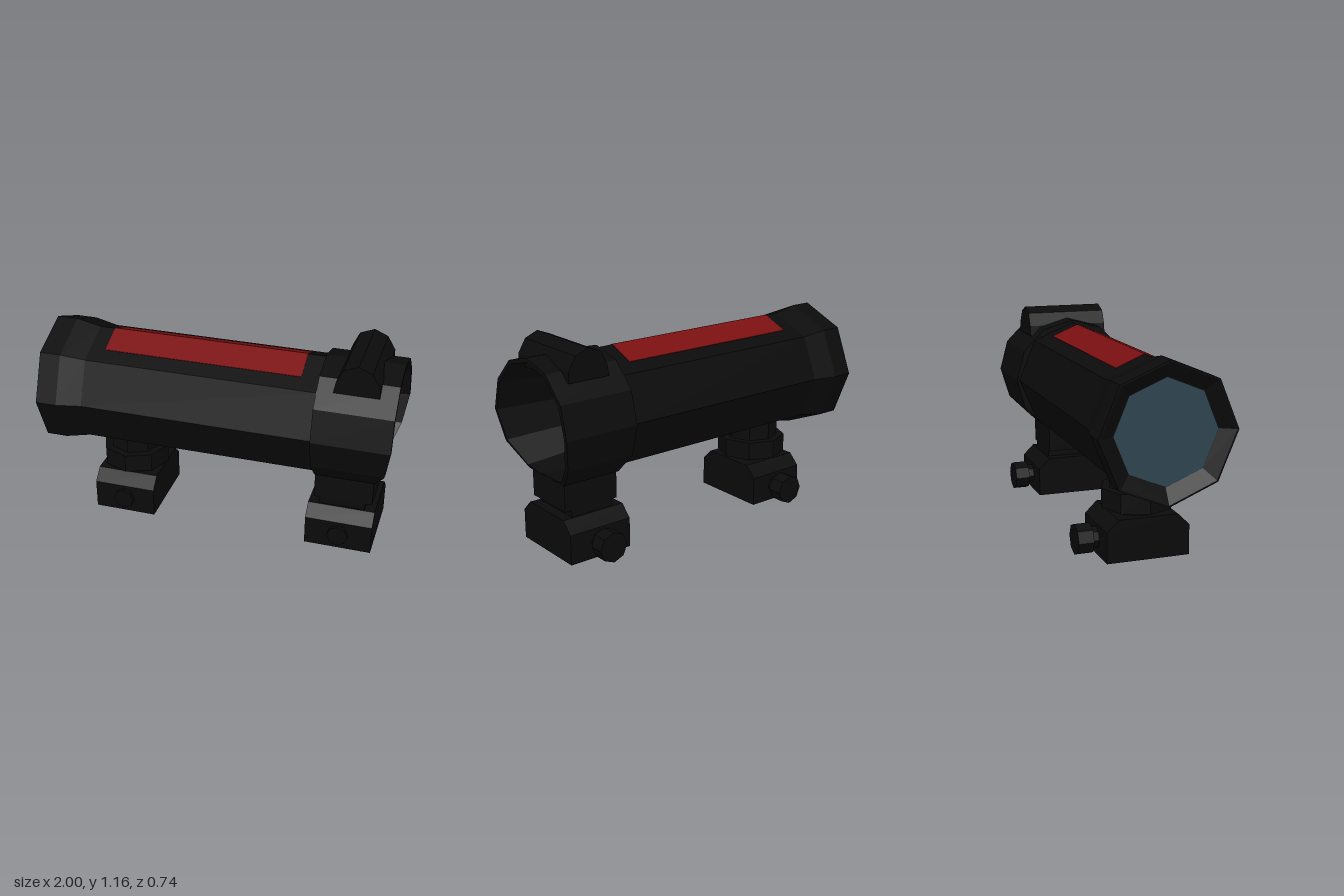
import * as THREE from 'three';

const AXIS_Y = 0.735;

export function createModel() {
  const model = new THREE.Group();
  const black = new THREE.MeshStandardMaterial({ color: 0x0b0b0b });
  black.name = 'matte black';
  const red = new THREE.MeshStandardMaterial({ color: 0x7a1011 });
  red.name = 'dark red';
  const glass = new THREE.MeshStandardMaterial({ color: 0x2f454f });
  glass.name = 'blue glass';

  // Faceted mesh helper
  function add(name, geometry, material, x = 0, y = 0, z = 0, parent = model) {
    const flat = geometry.index ? geometry.toNonIndexed() : geometry;
    flat.computeVertexNormals();
    const mesh = new THREE.Mesh(flat, material);
    mesh.name = name;
    mesh.position.set(x, y, z);
    parent.add(mesh);
    return mesh;
  }

  // Turned part along x from [x, radius] pairs
  function turned(profile, sides) {
    const points = profile.map(([x, r]) => new THREE.Vector2(r, x));
    return new THREE.LatheGeometry(points, sides).rotateZ(-Math.PI / 2);
  }

  // Outline extruded symmetrically along z
  function slab(outline, depth) {
    const shape = new THREE.Shape(outline.map(([x, y]) => new THREE.Vector2(x, y)));
    return new THREE.ExtrudeGeometry(shape, { depth, bevelEnabled: false }).translate(0, 0, -depth / 2);
  }

  // Eight-sided tube with a flared, recessed eyepiece
  add('tube', turned([
    [-0.95, 0], [-0.95, 0.28], [-1, 0.36], [-1, 0.37], [-0.88, 0.37],
    [-0.74, 0.34], [0.58, 0.34],
  ], 8), black, 0, AXIS_Y);

  // Twelve-sided hollow hood, its mouth cut back towards the bottom
  const hood = turned([
    [0.57, 0.3], [0.57, 0.354], [1, 0.354], [1, 0.33], [0.58, 0.29], [0.58, 0],
  ], 12);
  const p = hood.attributes.position;
  for (let i = 0; i < p.count; i++) {
    if (p.getX(i) > 0.9) {
      const s = Math.min(0, p.getY(i) / 0.354);
      p.setX(i, 1 - 0.12 * s * s);
    }
  }
  add('hood', hood, black, 0, AXIS_Y);

  // Lenses at both ends
  add('eyepieceLens', new THREE.CircleGeometry(0.277, 8).rotateY(-Math.PI / 2), glass, -0.954, AXIS_Y);
  add('frontLens', new THREE.CircleGeometry(0.277, 8).rotateY(Math.PI / 2), glass, 0.585, AXIS_Y);

  // Rounded cross ridge on top of the hood
  add('topRidge', slab([
    [0.66, 0.99], [0.905, 0.99], [0.905, 1.05], [0.86, 1.125],
    [0.785, 1.157], [0.705, 1.125], [0.67, 1.05],
  ], 0.48), black);

  // Red strip folded over the top edge of the tube
  const slope = Math.PI / 8;
  for (const side of [1, -1]) {
    const plate = new THREE.BoxGeometry(1.12, 0.006, 0.168).translate(0, 0, side * 0.084).rotateX(side * slope);
    add(side > 0 ? 'redStripFront' : 'redStripBack', plate, red, -0.09, AXIS_Y + 0.34);
  }

  // Clamp base with chamfered shoulders, bolt head and knob
  function clamp(name, x, width) {
    const group = new THREE.Group();
    group.name = name;
    group.position.x = x;
    model.add(group);
    add('clampBase', slab([
      [-0.23, 0], [0.23, 0], [0.23, 0.168], [0.165, 0.232], [-0.165, 0.232], [-0.23, 0.168],
    ], width).rotateY(Math.PI / 2), black, 0, 0, 0, group);
    const rod = (part, radius, z0, z1) => add(part,
      new THREE.CylinderGeometry(radius, radius, z1 - z0, 8).rotateX(Math.PI / 2),
      black, 0, 0.09, (z0 + z1) / 2, group);
    rod('clampBolt', 0.06, -0.27, 0.253);
    rod('clampKnob', 0.085, -0.35, -0.265);
    return group;
  }

  // Rear mount: octagonal post with a collar
  const rear = clamp('rearMount', -0.55, 0.36);
  add('post', new THREE.CylinderGeometry(0.155, 0.155, 0.26, 8), black, 0, 0.35, 0, rear);
  add('collar', new THREE.CylinderGeometry(0.2, 0.2, 0.107, 8), black, 0, 0.303, 0, rear);

  // Front mount: square block on a short neck
  const front = clamp('frontMount', 0.73, 0.38);
  add('neck', new THREE.BoxGeometry(0.26, 0.06, 0.31), black, 0, 0.25, 0, front);
  add('block', new THREE.BoxGeometry(0.33, 0.155, 0.31), black, 0.005, 0.3475, 0, front);

  return model;
}
